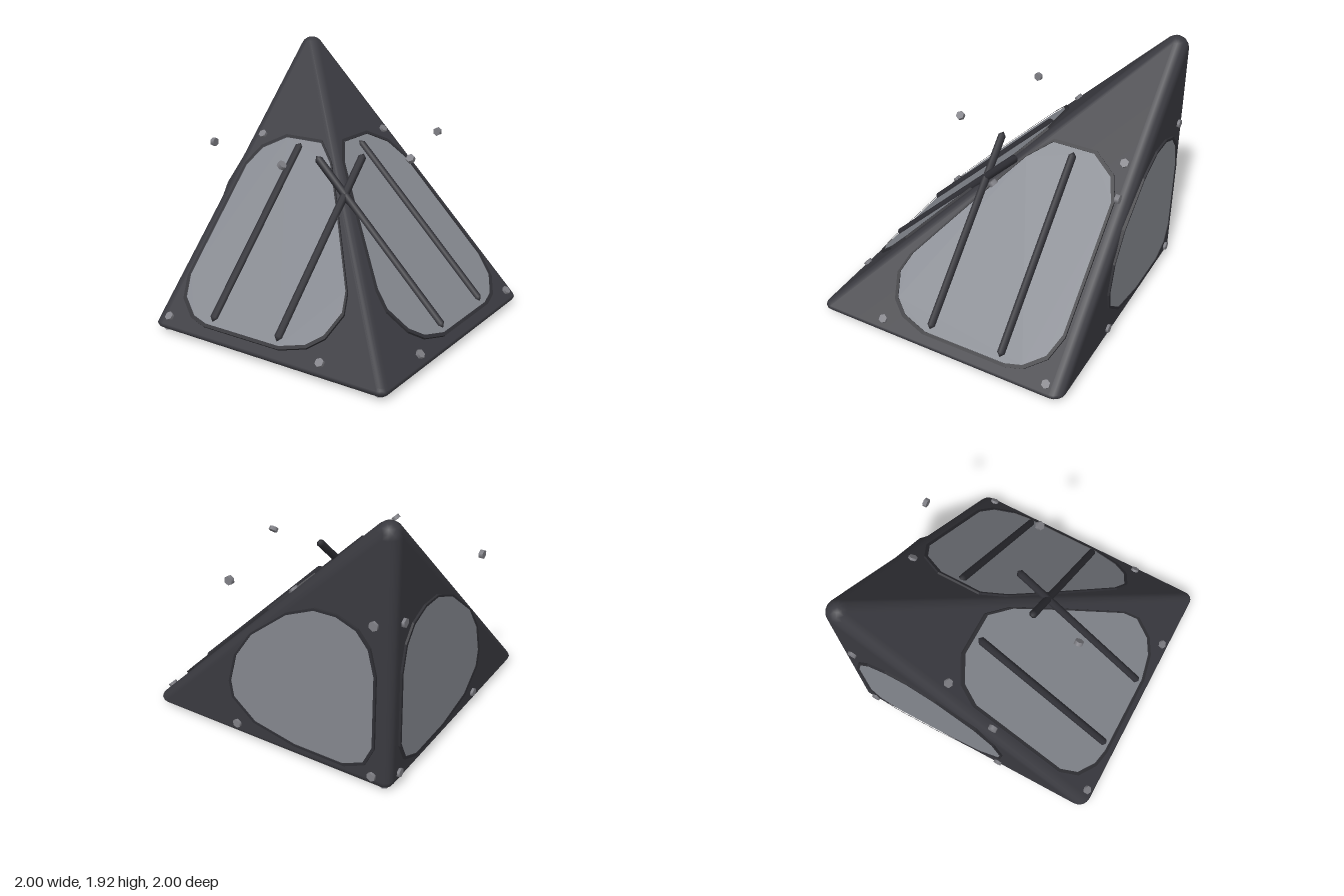
import * as THREE from 'three';
import { mergeVertices } from 'three/addons/utils/BufferGeometryUtils.js';
import { ConvexGeometry } from 'three/addons/geometries/ConvexGeometry.js';

const mat = (name, color) => new THREE.MeshStandardMaterial({ name, color });
const SLOPE = 1.07; // y + z (or y + x) on the two sloped faces
const WALL = 0.98;

export function createModel() {
  const shellMat = mat('charcoal shell', 0x3a3a40);
  const rimMat = mat('dark rim', 0x303035);
  const paneMat = mat('grey pane', 0x85888f);
  const barMat = mat('dark bar', 0x303036);
  const boltMat = mat('bolt grey', 0x808086);
  const model = new THREE.Group();
  const add = (parent, name, geometry, material) => {
    const mesh = new THREE.Mesh(geometry, material);
    mesh.name = name;
    parent.add(mesh);
    return mesh;
  };

  // Shell: hull of five rounded corners, [x, y, z, horizontal radius, vertical radius]
  const corners = [
    [-0.89, 1.833, -0.89, 0.09, 0.09],
    [-0.91, 0.085, -0.91, 0.07, 0.07],
    [0.914, 0.055, -0.89, 0.09, 0.04],
    [-0.89, 0.055, 0.914, 0.09, 0.04],
    [0.941, 0.055, 0.941, 0.06, 0.04],
  ];
  const points = [];
  const ball = new THREE.SphereGeometry(1, 16, 8).attributes.position;
  for (const [x, y, z, a, b] of corners) {
    const seen = new Set();
    for (let i = 0; i < ball.count; i++) {
      const p = new THREE.Vector3().fromBufferAttribute(ball, i);
      const key = p.toArray().map((n) => Math.round(n * 1000) || 0).join();
      if (seen.has(key)) continue;
      seen.add(key);
      points.push(new THREE.Vector3(x + p.x * a, y + p.y * b, z + p.z * a));
    }
  }
  let hull = new ConvexGeometry(points);
  hull.deleteAttribute('normal');
  hull = mergeVertices(hull);
  hull.computeVertexNormals();
  add(model, 'shell', hull, shellMat);

  // One face fitting: rim, inset pane and corner bolts; local z points outwards
  const facePanel = (name, outline, bolts, { flip = 1, stretch = 1, pos, ry = 0, rx = 0 }) => {
    const group = new THREE.Group();
    group.name = name;
    group.position.set(...pos);
    group.rotation.set(rx, ry, 0, 'YXZ');
    model.add(group);
    const pts = outline.map(([u, v]) => new THREE.Vector2(u * flip, v * stretch));
    const centre = new THREE.Box2().setFromPoints(pts).getCenter(new THREE.Vector2());
    const inner = pts.map((p) => p.clone().sub(centre).multiplyScalar(0.97).add(centre));
    const ring = new THREE.Shape(pts);
    ring.holes.push(new THREE.Path(inner));
    const slab = (shape, depth, z) =>
      new THREE.ExtrudeGeometry(shape, { depth, bevelEnabled: false }).translate(0, 0, z);
    add(group, name + 'Rim', slab(ring, 0.03, -0.015), rimMat);
    add(group, name + 'Pane', slab(new THREE.Shape(inner), 0.02, -0.011), paneMat);
    for (const [u, v] of bolts) {
      const bolt = add(group, name + 'Bolt', new THREE.CylinderGeometry(0.033, 0.033, 0.03, 6), boltMat);
      bolt.rotation.x = Math.PI / 2;
      bolt.position.set(u * flip, v * stretch, 0.004);
    }
    return group;
  };
  const grid = (us, vs) => us.flatMap((u) => vs.map((v) => [u, v]));

  // Sloped faces, each with two long bars
  const slopeOutline = [
    [-0.875, 1.05], [-0.805, 1.175], [-0.63, 1.265], [-0.3, 1.265], [-0.135, 1.15],
    [0.09, 0.9], [0.46, 0.475], [0.505, 0.365], [0.445, 0.23], [0.34, 0.16], [0.14, 0.115],
    [-0.525, 0.115], [-0.66, 0.14], [-0.805, 0.225], [-0.87, 0.35],
  ];
  const slopeBolts = grid([-0.85, 0.48], [0.115, 1.245]);
  const slopes = [
    ['frontPanel', { pos: [0, 0, SLOPE], flip: 1, ry: 0 }],
    ['sidePanel', { pos: [SLOPE, 0, 0], flip: -1, ry: Math.PI / 2 }],
  ];
  for (const [name, place] of slopes) {
    const group = facePanel(name, slopeOutline, slopeBolts,
      { ...place, stretch: Math.SQRT2, rx: -Math.PI / 4 });
    for (const u of [-0.47, 0.1]) {
      const bar = add(group, name + 'Bar', new THREE.CapsuleGeometry(0.03, 1.46, 1, 8), barMat);
      bar.position.set(u * place.flip, 0.695 * Math.SQRT2 - 0.008, 0.011);
    }
  }

  // Upright faces
  const wallOutline = [
    [-0.42, 1.25], [-0.2, 1.15], [0.1, 0.9], [0.24, 0.69], [0.3, 0.46], [0.28, 0.33],
    [0.1, 0.18], [-0.24, 0.115], [-0.64, 0.115], [-0.8, 0.19], [-0.87, 0.34],
    [-0.875, 0.9], [-0.83, 1.09], [-0.74, 1.2], [-0.59, 1.255],
  ];
  const wallBolts = grid([-0.85, 0.25], [0.115, 1.255]);
  facePanel('backPanel', wallOutline, wallBolts, { pos: [0, 0, -WALL], flip: -1, ry: Math.PI });
  facePanel('uprightSidePanel', wallOutline, wallBolts, { pos: [-WALL, 0, 0], ry: -Math.PI / 2 });

  // Underside
  const baseOutline = [
    [0.65, -0.88], [0.85, -0.8], [0.93, -0.62], [0.94, 0.6], [0.92, 0.82], [0.82, 0.92],
    [0.6, 0.94], [-0.62, 0.93], [-0.8, 0.85], [-0.88, 0.65], [-0.88, -0.6],
    [-0.85, -0.78], [-0.78, -0.85], [-0.6, -0.88],
  ];
  facePanel('basePanel', baseOutline, grid([-0.9, 0.92], [-0.9, 0.92]),
    { pos: [0, 0.019, 0], rx: Math.PI / 2 });

  return model;
}
